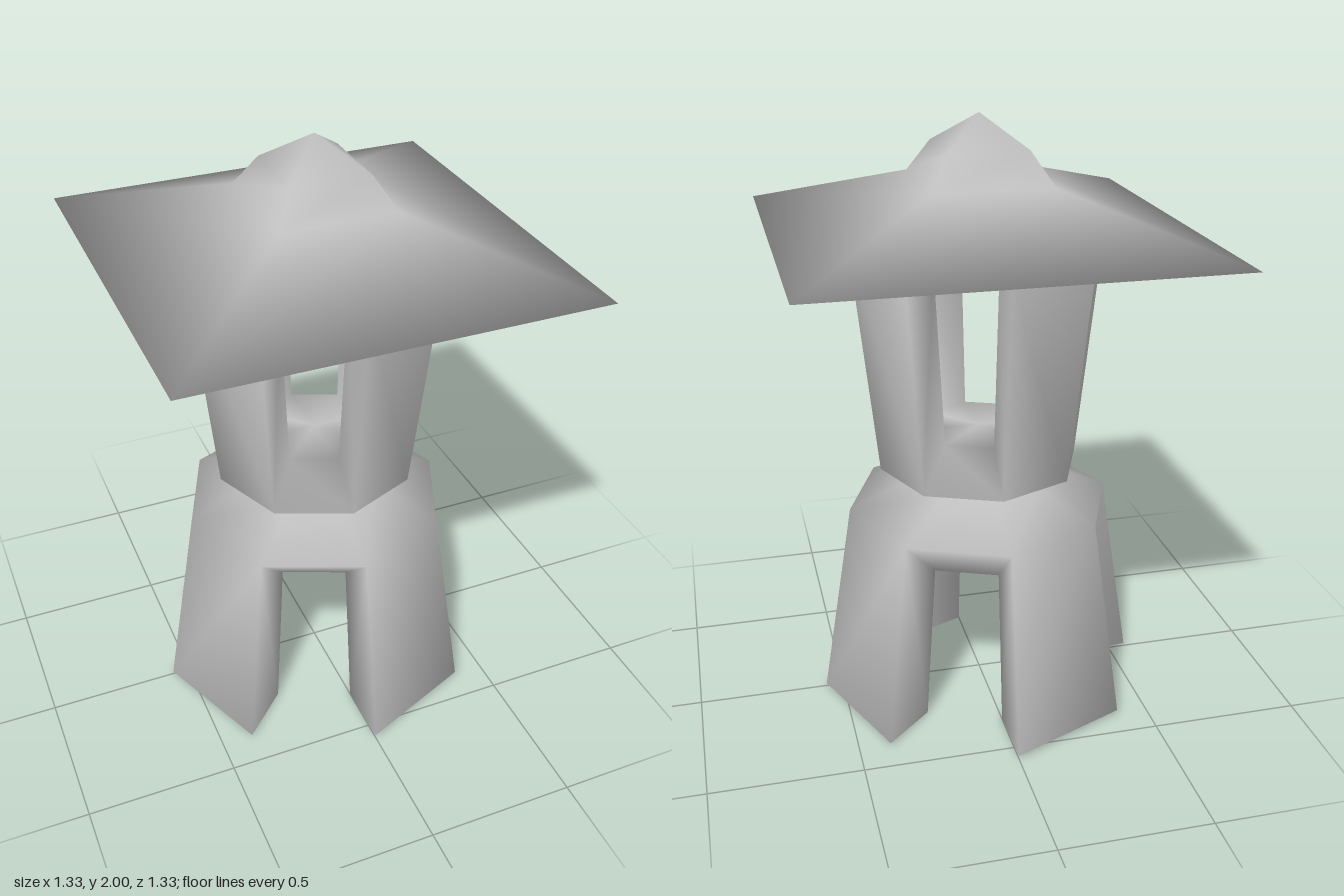
import * as THREE from 'three';
import { mergeVertices } from 'three/addons/utils/BufferGeometryUtils.js';

// Turns a [radius, height] chain, top to inside, into one angular sector of faces
function sector(tris, at, chain, k) {
  for (let i = 0; i < chain.length - 1; i++) {
    const a = chain[i], b = chain[i + 1];
    if (b[0] > 0) tris.push([at(k, b), at(k + 1, b), at(k + 1, a)]);
    if (a[0] > 0) tris.push([at(k, b), at(k + 1, a), at(k, a)]);
  }
}

// Point on ring corner k of an n-sided ring
function ring(n, offset, scale = 1) {
  return (k, [r, y]) => {
    const a = ((k % n) / n) * Math.PI * 2 + offset;
    return [r * scale * Math.sin(a), y, r * scale * Math.cos(a)];
  };
}

// Smooth welded geometry from triangles
function weld(tris, flip = false) {
  const list = flip ? tris.map(([a, b, c]) => [a, c, b]) : tris;
  const geo = new THREE.BufferGeometry();
  geo.setAttribute('position', new THREE.Float32BufferAttribute(list.flat(2), 3));
  const merged = mergeVertices(geo, 1e-4);
  merged.computeVertexNormals();
  return merged;
}

// Octagonal drum whose every other side carries a leg, the rest being arches
function leggedDrum({ neck, rim, end, endInner, inner }, flip) {
  const at = ring(8, 0), centre = [0, inner[1]], tris = [];
  for (let k = 0; k < 8; k++) {
    if (k % 2) {
      sector(tris, at, [neck, rim, inner, centre], k);
      continue;
    }
    sector(tris, at, [neck, rim, end, endInner, inner, centre], k);
    // side walls of the leg
    const p = [endInner, end, rim, inner].map((v) => at(k, v));
    const q = [endInner, end, rim, inner].map((v) => at(k + 1, v));
    tris.push([p[0], p[1], p[2]], [p[0], p[2], p[3]]);
    tris.push([q[0], q[2], q[1]], [q[0], q[3], q[2]]);
  }
  return weld(tris, flip);
}

export function createModel() {
  const group = new THREE.Group();
  const stone = new THREE.MeshStandardMaterial({ color: 0xc0c0c0 });
  stone.name = 'grey stone';
  const add = (name, geometry) => {
    const mesh = new THREE.Mesh(geometry, stone);
    mesh.name = name;
    group.add(mesh);
  };

  // Four splayed legs below the waist
  add('leggedBase', leggedDrum({
    neck: [0.22, 0.79], rim: [0.45, 0.69],
    end: [0.56, 0.01], endInner: [0.34, 0], inner: [0.28, 0.53],
  }, false));

  // Four pillars around the lamp chamber
  add('lampChamber', leggedDrum({
    neck: [0.22, 0.79], rim: [0.34, 0.83],
    end: [0.42, 1.58], endInner: [0.265, 1.57], inner: [0.21, 0.96],
  }, true));

  // Square roof with a stepped peak and a shallow pointed underside
  const tris = [];
  const square = ring(4, Math.PI / 4, Math.SQRT2);
  const roof = [[0, 2], [0.13, 1.9], [0.195, 1.795], [0.665, 1.63], [0, 1.5]];
  for (let k = 0; k < 4; k++) sector(tris, square, roof, k);
  add('roof', weld(tris));

  return group;
}
